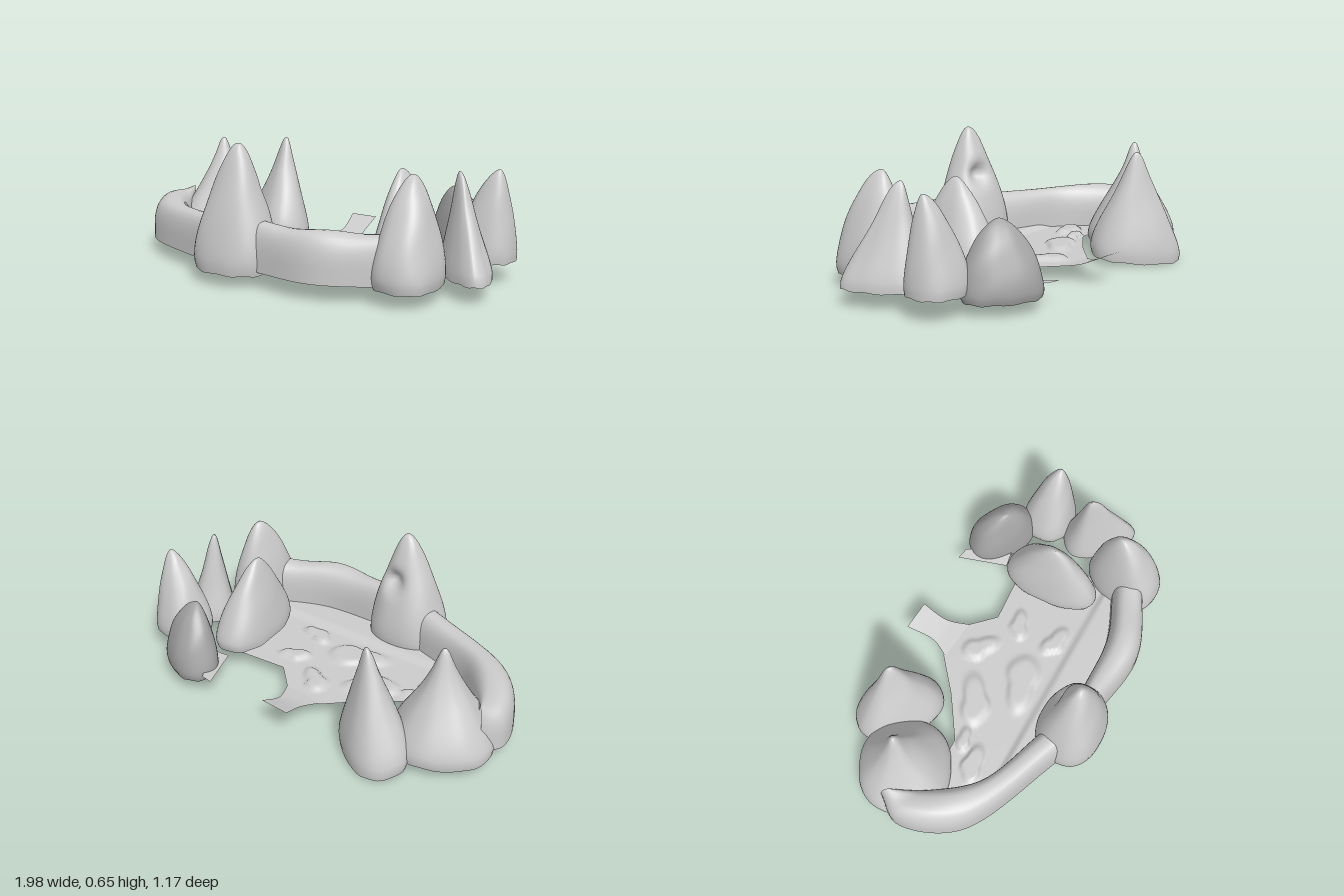
import * as THREE from 'three';

const stone = new THREE.MeshStandardMaterial({ name: 'stone grey', color: 0xcccccc, side: THREE.DoubleSide });
const darkStone = new THREE.MeshStandardMaterial({ name: 'dark stone grey', color: 0xa6a6a6, side: THREE.DoubleSide });

const { lerp, smoothstep } = THREE.MathUtils;
const curve = (...pts) => new THREE.CatmullRomCurve3(pts.map(([x, z, y = 0]) => new THREE.Vector3(x, y, z)));

// Smooth sheet from a rule at(u, v) -> Vector3; wrap joins the u ends
function sheet(name, nu, nv, at, material = stone, wrap = false) {
  const pos = [], index = [], cols = wrap ? nu : nu + 1;
  for (let j = 0; j <= nv; j++) {
    for (let i = 0; i < cols; i++) pos.push(...at(i / nu, j / nv).toArray());
  }
  for (let j = 0; j < nv; j++) {
    for (let i = 0; i < nu; i++) {
      const a = j * cols + i, b = j * cols + ((i + 1) % cols);
      index.push(a, a + cols, b, b, a + cols, b + cols);
    }
  }
  const g = new THREE.BufferGeometry();
  g.setAttribute('position', new THREE.Float32BufferAttribute(pos, 3));
  g.setIndex(index);
  g.computeVertexNormals();
  const mesh = new THREE.Mesh(g, material);
  mesh.name = name;
  return mesh;
}

// Hollow peak: oval foot [x, z] with radii, turn and taper, flowing up to a blunt tip;
// a and b shape the flank, blunt is the width of the tip
function peak(name, { foot, radii, turn = 0, taper = 0, tip, base = 0.07, tilt = 0, a = 1.8, b = 1.5, blunt = 0.2, material, dent }) {
  const round = (n) => Math.sign(n) * Math.abs(n) ** 0.85;
  return sheet(name, 48, 32, (u, v) => {
    const t = 1 - (1 - v) ** 1.8, angle = u * Math.PI * 2;
    const s = (1 - blunt) * Math.max(0, 1 - t ** a) ** b + blunt * Math.sqrt(Math.max(0, 1 - t ** 8));
    const k = s * (1 + 0.025 * Math.sin(angle * 3 + v * 5) * Math.sin(v * 9)) * (1 - 0.07 * (1 - t) ** 16);
    const ex = round(Math.cos(angle)) * radii[0];
    const ez = round(Math.sin(angle)) * radii[1] * (1 - taper * Math.cos(angle));
    const dx = ex * Math.cos(turn) - ez * Math.sin(turn);
    const dz = ex * Math.sin(turn) + ez * Math.cos(turn);
    const p = new THREE.Vector3(
      lerp(tip[0], foot[0] + dx, k),
      lerp(base + tilt * dz + 0.003 * Math.sin(angle * 9), tip[1], t),
      lerp(tip[2], foot[1] + dz, k));
    if (dent && p.z < tip[2]) {
      const d = Math.hypot(p.x - dent.x, p.y - dent.y) / dent.size;
      p.z += 0.06 * Math.exp(-d * d * 1.5);
    }
    return p;
  }, material, true);
}

// Rounded wall arching from an inner foot line to an outer foot line
function wall(name, inner, outer, bottom, top) {
  return sheet(name, 36, 18, (u, v) => {
    const c = Math.cos(v * Math.PI);
    const k = 0.5 - 0.5 * Math.sign(c) * Math.abs(c) ** 0.75;
    const p = inner.getPoint(u).lerp(outer.getPoint(u), k);
    const ripple = 0.006 * Math.sin(u * 11 + v * 4);
    p.y = bottom + (top - bottom + ripple) * Math.sin(v * Math.PI) ** 0.6;
    return p;
  });
}

// Flat strip between two lines
function strip(name, first, second) {
  return sheet(name, 10, 10, (u, v) => first.getPoint(v).lerp(second.getPoint(v), u));
}

// Floor edge z for a given x, along straight pieces
function edgeZ(pts, x) {
  const i = Math.max(1, pts.findIndex((p) => x <= p[0] + 1e-6));
  const [x0, z0] = pts[i - 1], [x1, z1] = pts[i];
  return lerp(z0, z1, (x - x0) / (x1 - x0));
}

// Raised patches on the floor: x, z, half length, turn
const patches = [
  [-0.57, 0.08, 0.11, 0.2], [-0.48, -0.02, 0.07, 0.2], [-0.28, -0.07, 0.15, 0.5], [-0.02, -0.2, 0.11, -0.7],
  [-0.06, 0.08, 0.17, 0.3], [0.19, -0.08, 0.09, 0.4], [0.2, 0.13, 0.1, -0.3],
];
function floorHeight(x, z) {
  let y = 0.07 + 0.02 * smoothstep(z, 0.2, 0.24);
  for (const [px, pz, size, turn] of patches) {
    const dx = x - px, dz = z - pz, c = Math.cos(turn), s = Math.sin(turn);
    const wobble = 1 + 0.15 * Math.sin(3 * Math.atan2(dz, dx) + px * 9);
    const d = Math.hypot(dx * c - dz * s, 2 * (dx * s + dz * c)) / (size * wobble);
    y += 0.02 * (1 - smoothstep(d, 0.65, 1.05));
  }
  return y;
}

export function createModel() {
  const model = new THREE.Group();
  model.name = 'ring of peaks';

  // Peaks
  model.add(
    peak('frontPeak', { foot: [-0.165, 0.42], radii: [0.205, 0.17], tip: [-0.14, 0.65, 0.425], base: 0.06, blunt: 0.28, dent: { x: -0.12, y: 0.41, size: 0.06 } }),
    peak('frontLeftPeak', { foot: [0.68, 0.275], radii: [0.2, 0.14], turn: 1.65, taper: -0.2, tip: [0.66, 0.555, 0.235], b: 1.2, blunt: 0.28 }),
    peak('leftPeak', { foot: [0.85, 0.05], radii: [0.205, 0.115], turn: 0.92, taper: 0.35, tip: [0.77, 0.545, 0.005], base: 0.08, a: 1.1, b: 1.4 }),
    peak('backLeftPeak', { foot: [0.8, -0.235], radii: [0.15, 0.135], tip: [0.87, 0.53, -0.217], base: 0.1, a: 1.4, b: 1 }),
    peak('darkBackPeak', { foot: [0.595, -0.41], radii: [0.19, 0.12], turn: 0.55, tip: [0.57, 0.4, -0.37], base: 0.06, a: 2, b: 1, blunt: 0.25, material: darkStone }),
    peak('innerPeak', { foot: [0.485, -0.045], radii: [0.26, 0.13], turn: 1.57, taper: 0.15, tip: [0.46, 0.525, -0.03], base: 0.1, a: 1.5, b: 1.2 }),
    peak('rightPeak', { foot: [-0.74, -0.2], radii: [0.25, 0.24], turn: -0.5, tip: [-0.73, 0.56, -0.22], base: 0.05, a: 1.5, b: 2, blunt: 0.14 }),
    peak('backRightPeak', { foot: [-0.49, -0.39], radii: [0.24, 0.155], turn: 0.7, tip: [-0.45, 0.56, -0.41], base: 0.026, tilt: 0.11, a: 1.5, b: 1.7, blunt: 0.18 }),
  );

  // Rounded walls between the peaks
  model.add(wall('rightWall',
    curve([-0.88, -0.15], [-0.78, 0], [-0.62, 0.18], [-0.3, 0.3]),
    curve([-0.93, -0.21], [-1, -0.1], [-0.88, 0.19], [-0.3, 0.46]), 0.07, 0.28));
  model.add(wall('frontWall',
    curve([-0.03, 0.38], [0.32, 0.36], [0.6, 0.25]),
    curve([-0.03, 0.5], [0.32, 0.54], [0.62, 0.41]), 0.08, 0.3));

  // Floor with raised patches
  const back = [[-0.8, -0.05], [-0.5, -0.06], [-0.3, -0.2], [-0.14, -0.34], [0.06, -0.32], [0.18, -0.2], [0.45, -0.22], [0.62, 0.1]];
  const front = [[-0.8, 0.07], [-0.6, 0.25], [0, 0.47], [0.3, 0.48], [0.62, 0.36]];
  model.add(sheet('floor', 110, 60, (u, v) => {
    const x = lerp(-0.8, 0.62, u);
    const z = lerp(edgeZ(back, x), edgeZ(front, x), v);
    return new THREE.Vector3(x, floorHeight(x, z), z);
  }));

  // Rising tab at the back of the floor
  model.add(strip('backTab',
    curve([0.07, -0.31, 0.07], [0.03, -0.42, 0.09], [0.03, -0.55, 0.15]),
    curve([-0.14, -0.33, 0.07], [-0.1, -0.42, 0.09], [-0.12, -0.56, 0.15])));

  // Thin flake beside the dark peak
  model.add(strip('flake',
    curve([0.36, -0.54, 0.11], [0.45, -0.3, 0.09]),
    curve([0.42, -0.53, 0.11], [0.56, -0.32, 0.1])));

  return model;
}
